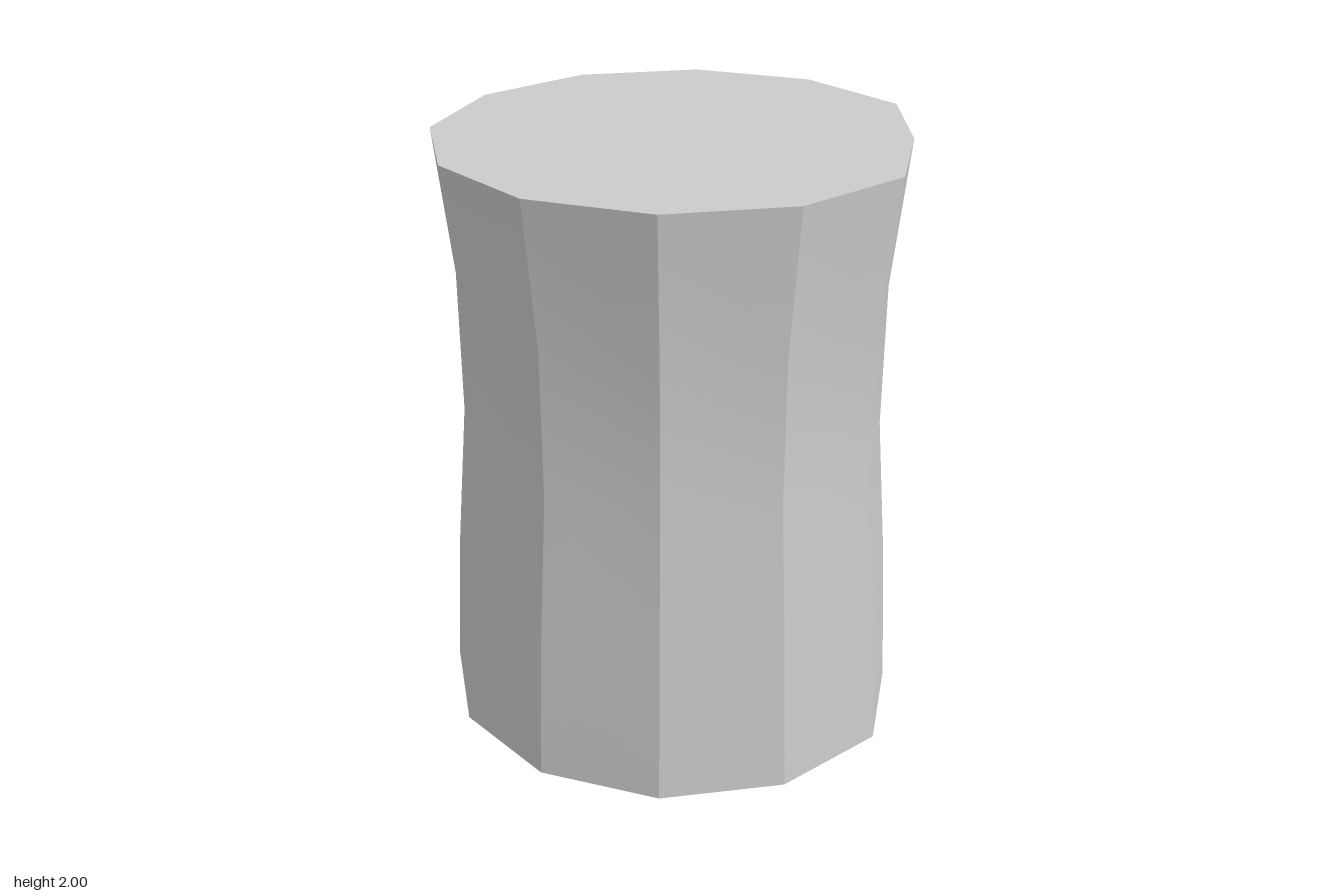
import * as THREE from 'three';
import { toCreasedNormals } from 'three/addons/utils/BufferGeometryUtils.js';

const CENTRE_X = 0.03;
const INNER_SCALE = 0.8;

// Waisted outer wall: [radius, height]
const WALL = [[0.81, 0], [0.785, 0.5], [0.745, 1], [0.75, 1.5], [0.81, 2]];

export function createModel() {
  const group = new THREE.Group();
  group.name = 'hollowSleeve';

  // Closed section: cavity ceiling, inner wall down, rim, outer wall up, closed top
  const inner = WALL.map(([r, y]) => new THREE.Vector2(r * INNER_SCALE, Math.min(y, 1.84))).reverse();
  const outer = WALL.map(([r, y]) => new THREE.Vector2(r, y));
  const profile = [new THREE.Vector2(0, 1.84), ...inner, ...outer, new THREE.Vector2(0, 2)];
  const geometry = new THREE.LatheGeometry(profile, 12);

  // Pull the +x corner inwards and shift the ring so the body stays centred
  const pos = geometry.attributes.position;
  for (let i = 0; i < pos.count; i++) {
    const x = pos.getX(i), z = pos.getZ(i);
    const isCorner = x > 0.1 && Math.abs(z) < 0.001;
    pos.setX(i, x * (isCorner ? 0.92 : 1) + CENTRE_X);
  }

  // Sharp between the twelve sides, soft along the height
  const body = new THREE.Mesh(
    toCreasedNormals(geometry, THREE.MathUtils.degToRad(10)),
    new THREE.MeshStandardMaterial({ color: 0xcccccc })
  );
  body.name = 'body';
  group.add(body);
  return group;
}
